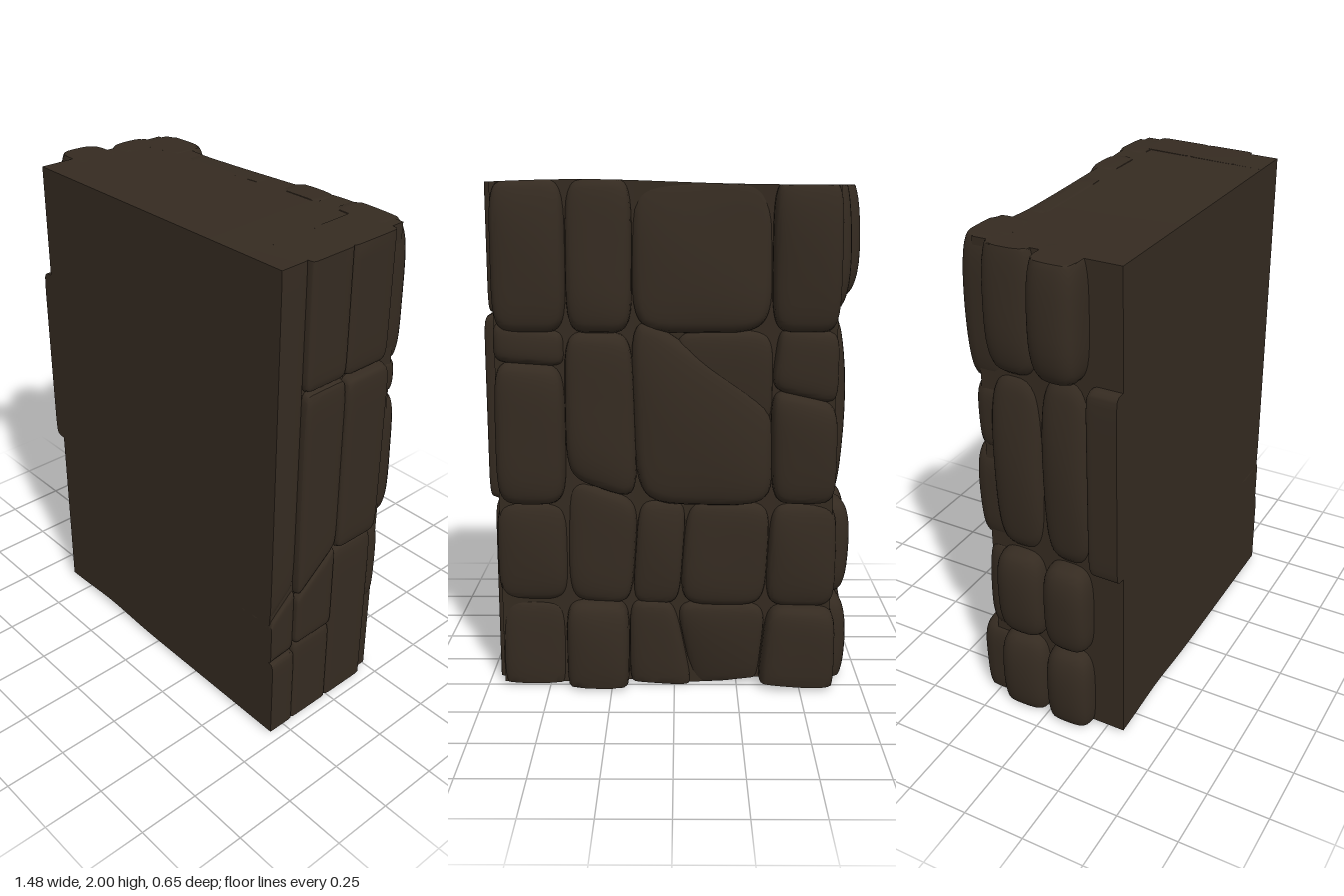
import * as THREE from 'three';
import { mergeVertices, toCreasedNormals } from 'three/addons/utils/BufferGeometryUtils.js';

const { lerp, clamp } = THREE.MathUtils;

// Cut planes of the wall block: gently uneven top and base, flat front
const depthAt = z => clamp((0.325 - z) / 0.5, 0, 1);
const topAt = (x, z) => 1.98 + 0.02 * depthAt(z) * Math.exp(-(((x - 0.35) / 0.45) ** 2));
const baseAt = (x, z) => 0.012 + 0.014 * Math.exp(-(((x + 0.33) / 0.18) ** 2))
  - 0.014 * depthAt(z) * Math.exp(-(((x + 0.1) / 0.15) ** 2));
const FRONT = 0.325;

function trim(geo) {
  const p = geo.attributes.position;
  for (let i = 0; i < p.count; i++) {
    const x = p.getX(i), z = Math.min(p.getZ(i), FRONT);
    p.setXYZ(i, x, clamp(p.getY(i), baseAt(x, z), topAt(x, z)), z);
  }
  return geo;
}

function finish(geo, angle) {
  geo.deleteAttribute('uv');
  geo.deleteAttribute('normal');
  return toCreasedNormals(mergeVertices(geo, 1e-5), angle);
}

export function createModel() {
  const wall = new THREE.Group();
  wall.name = 'stoneWallBlock';
  const stoneMat = new THREE.MeshStandardMaterial({ color: 0x352b21 });
  stoneMat.name = 'dark brown stone';
  let seed = 1;

  // Solid core with a wavy back
  const core = new THREE.BoxGeometry(1, 1, 1, 24, 1, 1);
  const cp = core.attributes.position;
  for (let i = 0; i < cp.count; i++) {
    const x = lerp(-0.62, 0.685, cp.getX(i) + 0.5);
    const back = -0.222 - 0.026 * clamp((Math.abs(x + 0.07) - 0.25) / 0.25, 0, 1);
    cp.setXYZ(i, x, cp.getY(i) > 0 ? 3 : -1, cp.getZ(i) > 0 ? FRONT : back);
  }
  const coreMesh = new THREE.Mesh(finish(trim(core), 0.6), stoneMat);
  coreMesh.name = 'wallCore';
  wall.add(coreMesh);

  // One pillow-shaped stone: corners [a, y] run anticlockwise from lower left
  // as seen facing the side; outer is its reach at [bottom, top]; n is its squareness
  function stone(name, turn, [bl, br, tr, tl], inner, outer, n) {
    const s = seed++;
    const geo = new THREE.BoxGeometry(2, 2, 2, 12, 14, 8);
    const p = geo.attributes.position;
    const tilt = 0.005 * Math.sin(s * 12.9);
    for (let i = 0; i < p.count; i++) {
      const q = [p.getX(i), p.getY(i), p.getZ(i)].map(t => Math.sin(t * Math.PI / 2));
      const k = q.reduce((sum, t) => sum + Math.abs(t) ** n, 0) ** (-1 / n);
      const [u, v, w] = q.map(t => t * k);
      const s1 = (u + 1) / 2, t1 = (v + 1) / 2;
      const a = lerp(lerp(bl[0], br[0], s1), lerp(tl[0], tr[0], s1), t1);
      const b = lerp(lerp(bl[1], br[1], s1), lerp(tl[1], tr[1], s1), t1);
      const crown = 0.006 - 0.01 * (u * u + v * v);
      const rough = n > 8 ? 0 : Math.max(w, 0) * (crown + tilt * u + 0.003 * Math.sin(9 * a + 11 * b + s));
      p.setXYZ(i, a, b, lerp(inner, lerp(outer[0], outer[1], t1), (w + 1) / 2) + rough);
    }
    geo.rotateY(turn);
    const mesh = new THREE.Mesh(finish(trim(geo), 0.75), stoneMat);
    mesh.name = name + s;
    wall.add(mesh);
  }

  // Courses of the back: cuts are [a at bottom, a at top], a = -x
  function course(low, high, cuts, depths) {
    const first = cuts[0][0], span = cuts[cuts.length - 1][0] - first;
    const at = (line, a) => [a, lerp(line[0], line[1], (a - first) / span)];
    depths.forEach((d, i) => {
      const l = cuts[i], r = cuts[i + 1];
      stone('backStone', Math.PI, [at(low, l[0]), at(low, r[0]), at(high, r[1]), at(high, l[1])], 0.13, d, 5);
    });
  }
  // Bottom course
  course([-0.04, -0.04], [0.37, 0.34],
    [[-0.69, -0.69], [-0.43, -0.43], [-0.18, -0.18], [0.08, 0.0], [0.33, 0.37], [0.64, 0.64]],
    [[0.268, 0.265], [0.325, 0.312], [0.258, 0.264], [0.232, 0.272], [0.32, 0.322]]);
  // Second course, stepping down along its middle
  course([0.36, 0.36], [0.77, 0.77], [[-0.7, -0.7], [-0.42, -0.42]], [[0.275, 0.27]]);
  course([0.36, 0.34], [0.87, 0.78], [[-0.42, -0.42], [-0.17, -0.14]], [[0.275, 0.268]]);
  course([0.34, 0.33], [0.77, 0.76],
    [[-0.17, -0.14], [0.02, 0.05], [0.36, 0.38], [0.64, 0.64]],
    [[0.26, 0.256], [0.27, 0.264], [0.275, 0.273]]);
  // Third course: tall stones, a shield-shaped slab and its recessed neighbour
  course([0.76, 0.76], [1.33, 1.31], [[-0.69, -0.69], [-0.42, -0.42]], [[0.322, 0.318]]);
  course([1.32, 1.3], [1.48, 1.44], [[-0.69, -0.69], [-0.42, -0.42]], [[0.29, 0.287]]);
  course([0.87, 0.77], [1.44, 1.43], [[-0.42, -0.42], [-0.14, -0.16]], [[0.31, 0.3]]);
  course([0.76, 0.75], [1.52, 1.15], [[-0.15, -0.17], [0.38, 0.38]], [[0.302, 0.285]]);
  course([1.05, 1.05], [1.44, 1.44], [[0.0, 0.0], [0.38, 0.38]], [[0.262, 0.262]]);
  course([0.76, 0.76], [1.22, 1.16], [[0.38, 0.37], [0.63, 0.63]], [[0.305, 0.31]]);
  course([1.21, 1.15], [1.46, 1.44], [[0.37, 0.4], [0.63, 0.63]], [[0.288, 0.288]]);
  // Top course, leaning in towards the top
  course([1.43, 1.43], [2.01, 2.01],
    [[-0.69, -0.69], [-0.41, -0.41], [-0.16, -0.16], [0.37, 0.37], [0.63, 0.63]],
    [[0.318, 0.298], [0.312, 0.272], [0.292, 0.232], [0.308, 0.312]]);

  // Stacked stones on the two ends; each joint is [y left, y right]
  function column(name, turn, a0, a1, joints, outs, n) {
    outs.forEach((out, i) => {
      const lo = joints[i], hi = joints[i + 1];
      stone(name, turn, [[a0, lo[0]], [a1, lo[1]], [a1, hi[1]], [a0, hi[0]]], 0.52, [out, out], n);
    });
  }
  const level = (...ys) => ys.map(y => [y, y]);

  // Left end (+x): flat, tightly fitted slabs
  const left = Math.PI / 2;
  column('leftEndStone', left, -0.38, -0.205, [[-0.1, -0.1], [0.36, 0.37], [0.5, 0.66], [2.1, 2.1]], [0.713, 0.7, 0.692], 14);
  column('leftEndStone', left, -0.21, -0.015, [[-0.1, -0.1], [0.4, 0.4], [0.62, 0.78], [1.5, 1.5], [2.1, 2.1]], [0.712, 0.718, 0.72, 0.715], 14);
  column('leftEndStone', left, -0.02, 0.195, level(-0.1, 0.76, 1.495, 2.1), [0.712, 0.733, 0.715], 12);

  // Right end (-x): rounder, bulging stones
  const right = -Math.PI / 2;
  column('rightEndStone', right, -0.21, 0.0, level(-0.04, 0.36, 0.76, 1.5, 2.03), [0.69, 0.695, 0.66, 0.67], 3.6);
  column('rightEndStone', right, 0.0, 0.2, level(-0.04, 0.36, 0.76, 1.53, 2.03), [0.697, 0.702, 0.664, 0.735], 3.6);
  column('rightEndStone', right, 0.2, 0.37, level(0.76, 1.53), [0.668], 12);

  return wall;
}
